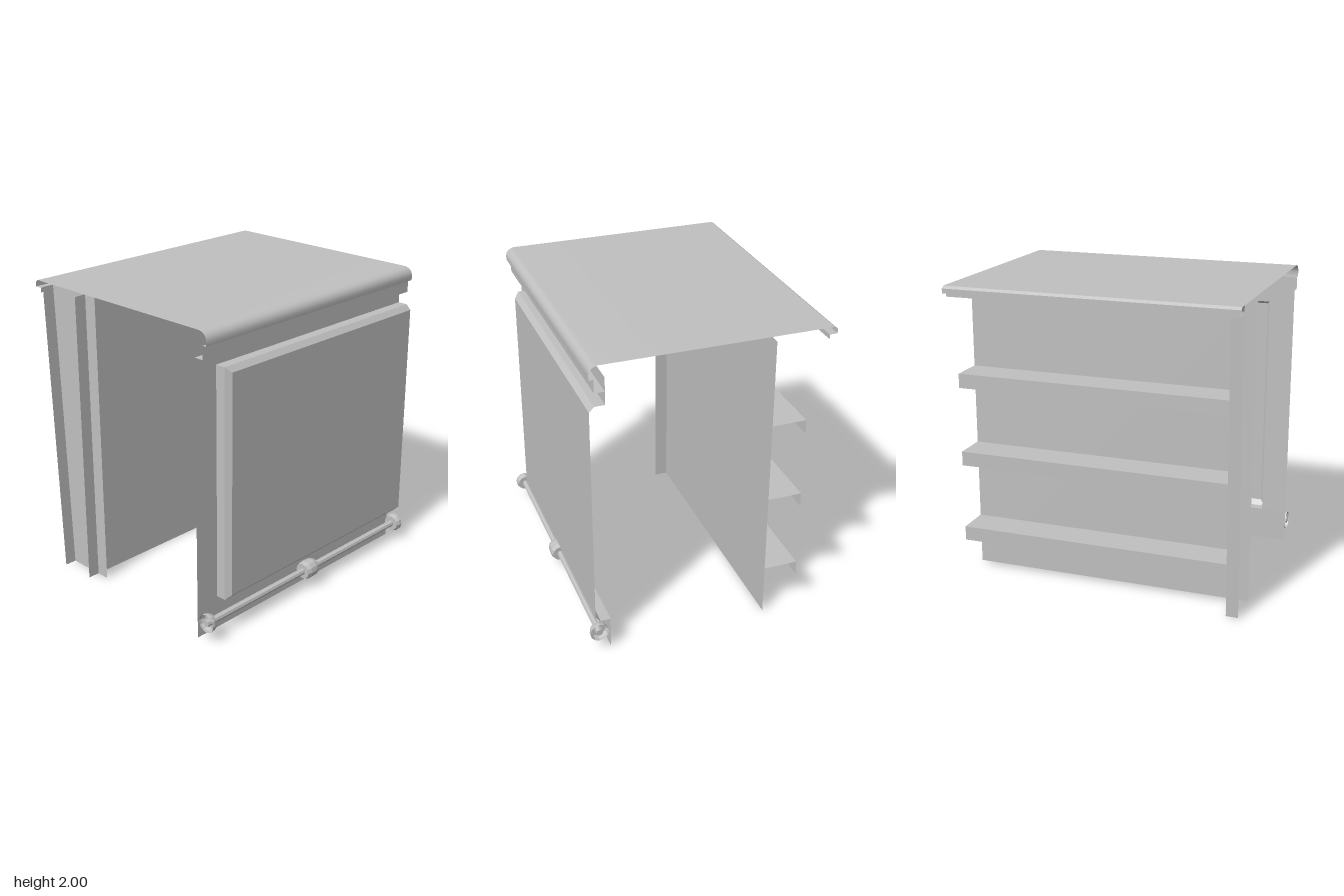
import * as THREE from 'three';

const H = 0.95; // half length of the counter
const SIDE = -0.87; // position of the end panel

export function createModel() {
  const model = new THREE.Group();
  model.name = 'shopCounter';
  const grey = new THREE.MeshStandardMaterial({ color: 0xc0c0c0, side: THREE.DoubleSide });
  grey.name = 'grey metal';

  const add = (name, geometry) => {
    const mesh = new THREE.Mesh(geometry, grey);
    mesh.name = name;
    model.add(mesh);
    return mesh;
  };

  // Skins rows of [x, y, z] points, with flat or smooth normals
  function loft(rows, smooth = false) {
    const n = rows[0].length;
    const index = [];
    for (let i = 0; i < rows.length - 1; i++) {
      for (let j = 0; j < n - 1; j++) {
        const a = i * n + j, b = a + 1, c = b + n, d = a + n;
        index.push(a, b, c, a, c, d);
      }
    }
    let g = new THREE.BufferGeometry();
    g.setAttribute('position', new THREE.Float32BufferAttribute(rows.flat(2), 3));
    g.setIndex(index);
    if (!smooth) g = g.toNonIndexed();
    g.computeVertexNormals();
    return g;
  }

  // Folded sheet: a [z, y] profile drawn out along x
  const fold = (profile, x0 = -H, x1 = H, smooth = false) =>
    loft(profile.map(([z, y]) => [[x1, y, z], [x0, y, z]]), smooth);

  // Worktop with rounded nosing, and its folded edges
  add('worktop', fold([
    [-0.77, 2], [-0.3, 2], [0.3, 2], [0.69, 2], [0.72, 1.99], [0.738, 1.97], [0.745, 1.945], [0.742, 1.915],
  ], -H, H, true));
  add('worktopBackEdge', fold([[-0.74, 1.925], [-0.74, 1.955], [-0.79, 1.955], [-0.79, 1.985], [-0.77, 2]]));
  add('apron', fold([[0.742, 1.915], [0.715, 1.915], [0.715, 1.83], [0.65, 1.83]]));

  // Front sheet, open behind the raised panel
  add('frontSheetTop', fold([[0.65, 1.92], [0.65, 1.745]]));
  add('frontSheetSide', fold([[0.65, 1.745], [0.65, 0.222]], -H, -0.78));
  add('frontSheetBottom', fold([[0.65, 0.222], [0.65, 0]]));

  // Raised front panel with bevelled rim, open at one end
  const rim = (x, top, bottom, z) => [[H, top, z], [x, top, z], [x, bottom, z], [H, bottom, z]];
  add('raisedPanelRim', loft([
    rim(-0.78, 1.745, 0.222, 0.65),
    rim(-0.78, 1.745, 0.222, 0.715),
    rim(-0.747, 1.712, 0.255, 0.747),
  ]));
  add('raisedPanelFace', fold([[0.747, 1.712], [0.747, 0.255]], -0.747, H));

  // Inner back sheet and three lipped shelves
  add('backSheet', fold([[-0.4, 0], [-0.4, 1.965]]));
  for (const y of [0.34, 0.87, 1.4]) {
    add('shelf', fold([[-0.625, y - 0.095], [-0.625, y], [-0.4, y]], SIDE, H));
  }

  // Tapered end panel with a flange along its sloping back edge
  add('endPanel', loft([
    [[SIDE, 0, -0.65], [SIDE, 0, -0.31]],
    [[SIDE, 1.965, -0.72], [SIDE, 1.965, -0.31]],
  ]));
  add('endPanelFlange', fold([[-0.65, 0], [-0.72, 1.965]], -H, SIDE));

  // Foot rail with a centre collar and two open end cups
  const alongX = (name, geometry, x) => {
    const mesh = add(name, geometry.rotateZ(-Math.PI / 2).toNonIndexed());
    mesh.geometry.computeVertexNormals();
    mesh.position.set(x, 0.13, 0.722);
    return mesh;
  };
  const collar = (points) =>
    new THREE.LatheGeometry(points.map(([r, x]) => new THREE.Vector2(r, x)), 12);

  alongX('footRail', new THREE.CylinderGeometry(0.022, 0.022, 2 * H, 8), 0);
  alongX('railCollar', collar([
    [0.02, -0.055], [0.052, -0.055], [0.061, -0.025], [0.061, 0.025], [0.052, 0.055], [0.02, 0.055],
  ]), 0);
  for (const side of [-1, 1]) {
    const cup = alongX('railEndCup', collar([[0.02, -0.045], [0.052, -0.045], [0.061, -0.02], [0.061, 0]]), side * H);
    if (side < 0) cup.rotation.y = Math.PI;
  }

  return model;
}
